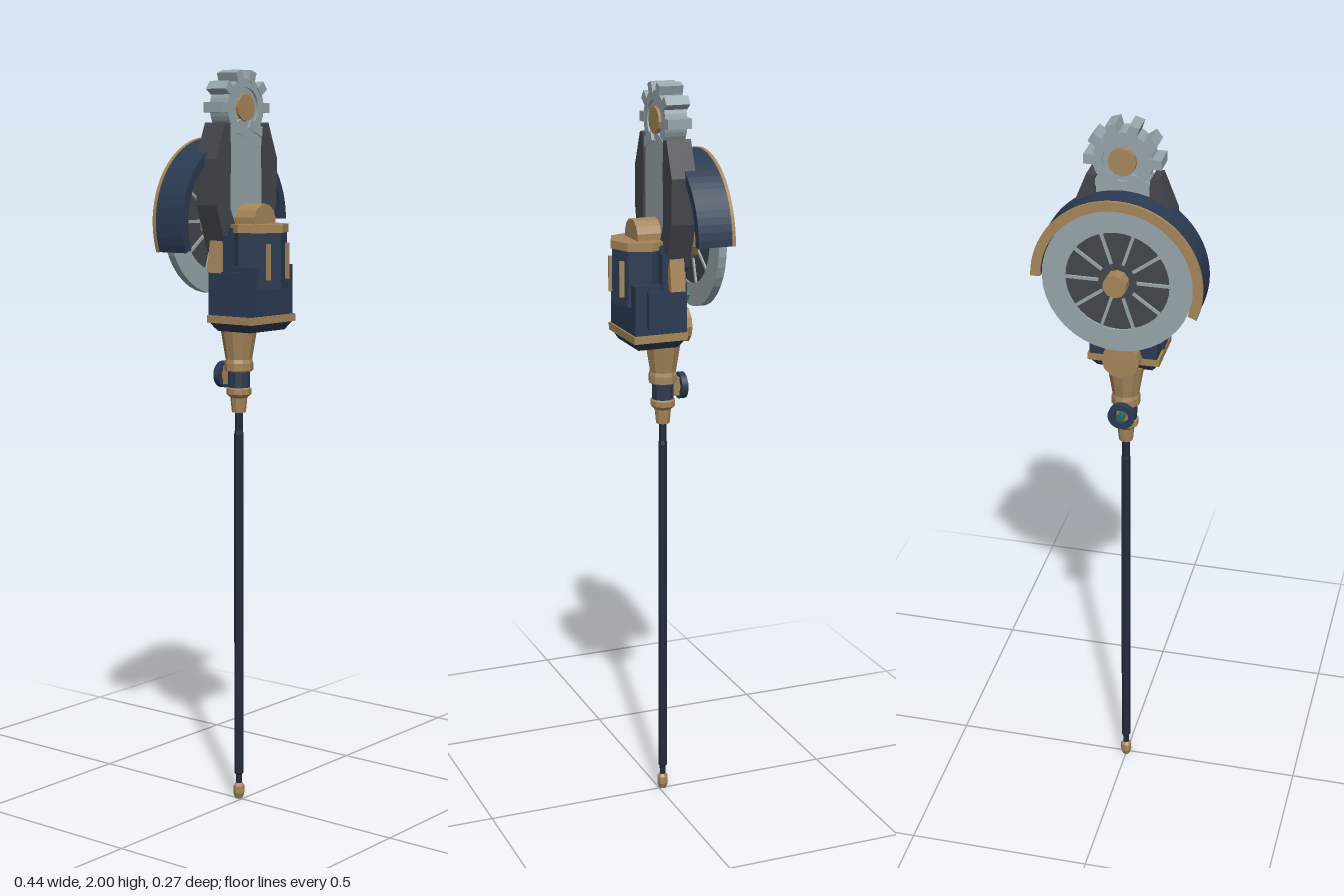
import * as THREE from 'three';

const mat = (color) => new THREE.MeshStandardMaterial({ color, flatShading: true });
const BLUE = mat(0x2b3b52), TAN = mat(0xa5865a), LIGHT = mat(0x98a6ac);
const DARK = mat(0x42464c), ROD = mat(0x232c3a), GREEN = mat(0x2f6b5a);

export function createModel() {
  const model = new THREE.Group();

  const add = (name, geometry, material, x = 0, y = 0, z = 0) => {
    const mesh = new THREE.Mesh(geometry, material);
    mesh.name = name;
    mesh.position.set(x, y, z);
    model.add(mesh);
    return mesh;
  };
  // box centred on x, y with a z range
  const box = (name, m, w, y0, y1, z0, z1, x = 0) =>
    add(name, new THREE.BoxGeometry(w, y1 - y0, z1 - z0), m, x, (y0 + y1) / 2, (z0 + z1) / 2);
  // disc whose axis runs along z
  const disc = (name, m, r, y, z0, z1, sides = 24) => {
    const g = new THREE.CylinderGeometry(r, r, z1 - z0, sides).rotateX(Math.PI / 2);
    return add(name, g, m, 0, y, (z0 + z1) / 2);
  };
  // outline in x, y extruded over a z range
  const slab = (name, m, shape, z0, z1, y = 0) => {
    const s = Array.isArray(shape) ? new THREE.Shape(shape.map((p) => new THREE.Vector2(...p))) : shape;
    const g = new THREE.ExtrudeGeometry(s, { depth: z1 - z0, bevelEnabled: false, curveSegments: 20 });
    return add(name, g, m, 0, y, z0);
  };
  const lathe = (name, m, pts, sides, z) =>
    add(name, new THREE.LatheGeometry(pts.map((p) => new THREE.Vector2(...p)), sides), m, 0, 0, z);
  const arc = (r0, r1, a0, a1) => {
    const s = new THREE.Shape();
    s.absarc(0, 0, r1, a0, a1, false);
    s.absarc(0, 0, r0, a1, a0, true);
    return s;
  };
  const ring = (r0, r1) => {
    const s = new THREE.Shape().absarc(0, 0, r1, 0, Math.PI * 2, false);
    s.holes.push(new THREE.Path().absarc(0, 0, r0, 0, Math.PI * 2, true));
    return s;
  };

  // long shaft and tip
  const AXIS = -0.01;
  lathe('tip', TAN, [[0, 0], [0.01, 0.002], [0.016, 0.018], [0.015, 0.038], [0.009, 0.046], [0, 0.046]], 8, AXIS);
  lathe('shaft', ROD, [[0, 0.04], [0.008, 0.04], [0.009, 0.07], [0.013, 0.075], [0.013, 1.03], [0.011, 1.04], [0.011, 1.1]], 8, AXIS);

  // stepped collar below the housing
  lathe('lowerCollar', TAN, [[0, 1.09], [0.019, 1.09], [0.023, 1.13], [0.034, 1.14], [0.034, 1.155], [0.028, 1.16]], 10, AXIS);
  lathe('collarBand', BLUE, [[0.03, 1.155], [0.03, 1.205]], 10, AXIS);
  lathe('neck', TAN, [[0.03, 1.2], [0.039, 1.205], [0.039, 1.225], [0.036, 1.235], [0.05, 1.32], [0, 1.32]], 10, AXIS);

  // loop behind the collar
  box('loopMount', TAN, 0.03, 1.165, 1.215, -0.056, -0.03);
  slab('loop', BLUE, ring(0.02, 0.036), -0.07, -0.053, 1.19);
  disc('loopGem', GREEN, 0.012, 1.19, -0.073, -0.05, 8);

  // housing base
  const skirt = new THREE.CylinderGeometry(Math.SQRT1_2, 0.56, 1, 4).rotateY(Math.PI / 4).scale(0.186, 0.025, 0.14);
  add('baseSkirt', skirt, BLUE, 0, 1.328, 0.033);
  box('basePlate', TAN, 0.192, 1.338, 1.358, -0.042, 0.108);
  box('housing', BLUE, 0.18, 1.355, 1.49, -0.042, 0.103);
  box('upperHousing', BLUE, 0.16, 1.48, 1.59, -0.042, 0.03);
  for (const s of [-1, 1]) {
    box('sidePanel', BLUE, 0.018, 1.375, 1.475, 0.0, 0.07, s * 0.092);
    box('sideRib', BLUE, 0.018, 1.36, 1.57, 0.015, 0.03, s * 0.088);
    const clamp = box('sideClamp', TAN, 0.028, 1.47, 1.555, -0.03, 0.01, s * 0.09);
    clamp.rotation.z = s * 0.15;
    box('frontStrip', TAN, 0.006, 1.455, 1.55, 0.11, 0.128, s * 0.04);
  }

  // faceted front tower with its cap
  const prism = (name, m, r, y0, y1) =>
    add(name, new THREE.CylinderGeometry(r, r, y1 - y0, 8), m, 0, (y0 + y1) / 2, 0.053);
  prism('tower', BLUE, 0.08, 1.43, 1.58);
  prism('towerCap', TAN, 0.084, 1.578, 1.6);
  prism('towerFoot', BLUE, 0.083, 1.43, 1.445);
  box('window', DARK, 0.05, 1.46, 1.545, 0.08, 0.121);
  disc('capKnuckle', TAN, 0.046, 1.607, 0.0, 0.079, 14);

  // armoured frame carrying the gear
  slab('framePlate', LIGHT, [[-0.04, 1.58], [0.04, 1.58], [0.07, 1.64], [0.075, 1.83], [0.065, 1.86],
    [0.015, 1.845], [-0.015, 1.845], [-0.065, 1.86], [-0.075, 1.83], [-0.07, 1.64]], -0.042, 0.012);
  for (const s of [-1, 1]) {
    const wing = [[0.045, 1.5], [0.085, 1.53], [0.128, 1.65], [0.13, 1.77], [0.092, 1.865],
      [0.07, 1.86], [0.068, 1.79], [0.07, 1.64], [0.04, 1.58]];
    slab('wing', DARK, wing.map(([x, y]) => [s * x, y]), -0.05, 0.018);
    const brace = box('gearBrace', LIGHT, 0.058, 1.837, 1.863, -0.048, 0.016, s * 0.044);
    brace.rotation.z = -s * 0.4;
  }

  // gear
  const GY = 1.904;
  disc('gear', LIGHT, 0.074, GY, -0.04, 0.008, 20);
  slab('gearRim', LIGHT, ring(0.052, 0.076), -0.047, 0.014, GY);
  disc('gearHub', TAN, 0.036, GY, -0.055, 0.016, 12);
  for (let i = 0; i < 6; i++) {
    const a = (i * Math.PI) / 5;
    const tooth = add('gearTooth', new THREE.BoxGeometry(0.03, 0.026, 0.066), LIGHT,
      Math.cos(a) * 0.084, GY + Math.sin(a) * 0.084, -0.017);
    tooth.rotation.z = a;
  }

  // rear wheel
  const WY = 1.605;
  disc('axleDrum', TAN, 0.07, WY, -0.088, -0.03, 16);
  slab('wheelRim', LIGHT, ring(0.135, 0.196), -0.108, -0.086, WY);
  disc('wheelDisc', DARK, 0.138, WY, -0.102, -0.09, 32);
  disc('wheelHub', TAN, 0.031, WY, -0.138, -0.095, 10);
  for (let i = 0; i < 10; i++) {
    const a = (i * Math.PI) / 5;
    const spoke = add('wheelSpoke', new THREE.BoxGeometry(0.085, 0.008, 0.022), LIGHT,
      Math.cos(a) * 0.092, WY + Math.sin(a) * 0.092, -0.096);
    spoke.rotation.z = a;
  }

  // fender over the wheel
  slab('fender', BLUE, arc(0.197, 0.22, 0, 3.5), -0.112, -0.02, WY);
  slab('fenderTrim', TAN, arc(0.197, 0.2225, 0, 3.5), -0.121, -0.112, WY);

  // rear joint below the wheel
  disc('rearJoint', TAN, 0.05, 1.36, -0.075, -0.03, 12);
  box('rearStrut', TAN, 0.05, 1.36, 1.58, -0.066, -0.035);
  disc('rearGem', GREEN, 0.02, 1.44, -0.078, -0.06, 8);

  return model;
}
